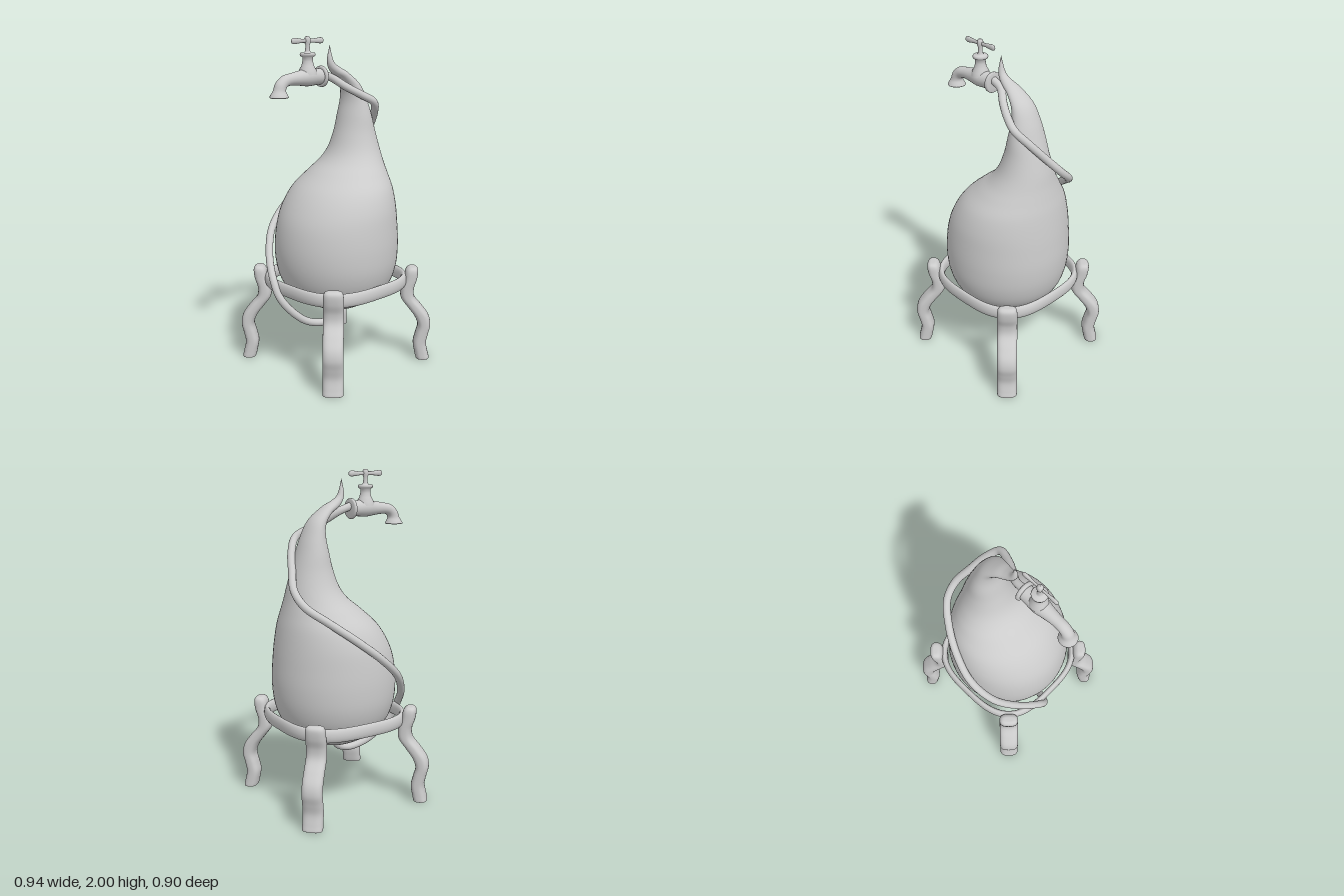
import * as THREE from 'three';

const material = new THREE.MeshStandardMaterial({ color: 0xcccccc, side: THREE.DoubleSide });

function add(parent, name, geometry, x = 0, y = 0, z = 0) {
  const mesh = new THREE.Mesh(geometry, material);
  mesh.name = name;
  mesh.position.set(x, y, z);
  parent.add(mesh);
  return mesh;
}

// Smooth skin through rings [centreX, centreY, halfAxisX, halfAxisY, halfDepth].
// dir is the sign of the depth axis, power < 1 squares the section.
function loft(rings, { sides = 40, sub = 6, dir = -1, power = 1 } = {}) {
  const centres = new THREE.CatmullRomCurve3(rings.map(r => new THREE.Vector3(r[0], r[1], 0)), false, 'catmullrom', 0.5);
  const axes = new THREE.CatmullRomCurve3(rings.map(r => new THREE.Vector3(r[2], r[3], r[4])), false, 'catmullrom', 0.5);
  const steps = (rings.length - 1) * sub;
  const pos = [], index = [];
  const shape = s => Math.sign(s) * Math.abs(s) ** power;
  for (let i = 0; i <= steps; i++) {
    const c = centres.getPoint(i / steps), a = axes.getPoint(i / steps);
    for (let j = 0; j < sides; j++) {
      const t = (j / sides) * Math.PI * 2, u = shape(Math.cos(t)), v = shape(Math.sin(t));
      pos.push(c.x + a.x * u, c.y + a.y * u, dir * a.z * v);
      if (i === steps) continue;
      const k = (j + 1) % sides, p = i * sides, q = p + sides;
      index.push(p + j, p + k, q + j, p + k, q + k, q + j);
    }
  }
  const g = new THREE.BufferGeometry();
  g.setAttribute('position', new THREE.Float32BufferAttribute(pos, 3));
  g.setIndex(index);
  g.computeVertexNormals();
  return g;
}

const lathe = pts => new THREE.LatheGeometry(pts.map(p => new THREE.Vector2(...p)), 32);

function makeBody() {
  // left edge x, y, right edge x, y, half depth
  const outline = [
    [0.02, 0.33, 0.02, 0.33, 0], [-0.06, 0.34, 0.10, 0.34, 0.08], [-0.14, 0.37, 0.18, 0.37, 0.16],
    [-0.23, 0.425, 0.27, 0.425, 0.25], [-0.31, 0.51, 0.345, 0.51, 0.33], [-0.35, 0.62, 0.383, 0.62, 0.37],
    [-0.36, 0.75, 0.395, 0.75, 0.38], [-0.34, 0.89, 0.387, 0.89, 0.372], [-0.295, 1.0, 0.375, 1.0, 0.355],
    [-0.225, 1.1, 0.36, 1.1, 0.318], [-0.125, 1.19, 0.343, 1.18, 0.257], [-0.04, 1.26, 0.328, 1.25, 0.205],
    [0.01, 1.33, 0.313, 1.33, 0.165], [0.047, 1.43, 0.29, 1.42, 0.135], [0.072, 1.53, 0.26, 1.52, 0.117],
    [0.09, 1.62, 0.225, 1.62, 0.095], [0.085, 1.69, 0.175, 1.715, 0.075], [0.045, 1.745, 0.09, 1.787, 0.052],
    [-0.005, 1.777, 0.03, 1.82, 0.036], [-0.04, 1.815, -0.005, 1.845, 0.025],
    [-0.052, 1.865, -0.022, 1.88, 0.016], [-0.038, 1.945, -0.036, 1.945, 0],
  ];
  return loft(outline.map(([lx, ly, rx, ry, w]) =>
    [(lx + rx) / 2, (ly + ry) / 2, (rx - lx) / 2, (ry - ly) / 2, w]), { sides: 64 });
}

// Wavy leg: x is the distance from the stand's axis
function makeLeg() {
  const path = [
    [0.475, 0.6, 0, 0], [0.475, 0.597, 0.022, 0.04], [0.472, 0.575, 0.039, 0.057], [0.464, 0.52, 0.041, 0.06],
    [0.446, 0.46, 0.041, 0.06], [0.45, 0.4, 0.043, 0.06], [0.495, 0.34, 0.046, 0.06], [0.538, 0.28, 0.045, 0.06],
    [0.555, 0.22, 0.04, 0.06], [0.542, 0.16, 0.04, 0.06], [0.53, 0.1, 0.041, 0.06], [0.54, 0.04, 0.042, 0.06],
    [0.548, 0.006, 0.042, 0.06], [0.548, 0, 0.036, 0.054], [0.548, 0, 0, 0],
  ];
  return loft(path.map(([x, y, r, w]) => [x, y, r, 0, w]), { sides: 32, dir: 1, power: 0.75 });
}

// Rounded-square band with an oval section
function makeBand() {
  const pos = [], index = [], n = 128, m = 16;
  const round = s => Math.sign(s) * Math.abs(s) ** (2 / 3);
  for (let i = 0; i < n; i++) {
    const a = (i / n) * Math.PI * 2, c = Math.cos(a), s = Math.sin(a);
    for (let j = 0; j < m; j++) {
      const b = (j / m) * Math.PI * 2;
      const out = Math.cos(b) * 0.018;
      pos.push((0.377 + out) * round(c), Math.sin(b) * 0.042, (0.375 + out) * round(s));
      const p = i * m, q = ((i + 1) % n) * m, k = (j + 1) % m;
      index.push(p + j, p + k, q + j, p + k, q + k, q + j);
    }
  }
  const g = new THREE.BufferGeometry();
  g.setAttribute('position', new THREE.Float32BufferAttribute(pos, 3));
  g.setIndex(index);
  g.computeVertexNormals();
  return g;
}

function makeTap() {
  const tap = new THREE.Group();
  tap.name = 'tap';
  // centre x, y, radius, direction of the ring's axis in degrees; the last rings hollow the mouth
  const spout = [
    [-0.1, 1.77, 0.046, 90], [-0.15, 1.77, 0.047, 90], [-0.21, 1.771, 0.052, 90], [-0.27, 1.768, 0.042, 90],
    [-0.33, 1.765, 0.034, 92], [-0.375, 1.757, 0.033, 115], [-0.405, 1.734, 0.034, 150],
    [-0.416, 1.705, 0.037, 175], [-0.42, 1.682, 0.049, 180], [-0.42, 1.67, 0.054, 180],
    [-0.42, 1.668, 0.046, 180], [-0.418, 1.69, 0.036, 180], [-0.416, 1.71, 0.028, 175], [-0.416, 1.711, 0, 175],
  ].map(([x, y, r, deg]) => {
    const a = THREE.MathUtils.degToRad(deg);
    return [x, y, r * Math.cos(a), r * Math.sin(a), r];
  });
  add(tap, 'spout', loft(spout, { sides: 32 }));

  const flange = add(tap, 'inletFlange', lathe([
    [0, -0.012], [0.052, -0.012], [0.06, -0.007], [0.061, 0.005], [0.055, 0.012], [0.022, 0.012], [0, 0.012],
  ]), -0.105, 1.77, 0);
  flange.rotation.z = -Math.PI / 2;

  // Bonnet, collar and stem
  add(tap, 'valveStem', lathe([
    [0.055, 1.785], [0.05, 1.81], [0.036, 1.835], [0.03, 1.86], [0.03, 1.882], [0.043, 1.89], [0.045, 1.9],
    [0.04, 1.908], [0.02, 1.909], [0.014, 1.918], [0.012, 1.95], [0.018, 1.965], [0.018, 1.985], [0.012, 1.997], [0, 2],
  ]), -0.207, 0, 0);

  // Cross bar, thicker towards both ends
  const bar = [
    [-0.119, 0], [-0.115, 0.012], [-0.1, 0.017], [-0.075, 0.015], [-0.04, 0.011], [0, 0.012],
    [0.04, 0.011], [0.075, 0.015], [0.1, 0.017], [0.115, 0.012], [0.119, 0],
  ].map(([x, r]) => [-x, 0, 0, r, r * 0.6]);
  add(tap, 'handleBar', loft(bar, { sides: 20, sub: 4 }), -0.207, 1.974, 0);
  return tap;
}

// Hose winding from the tap around the neck and body to the underside
function makeHose() {
  const points = [
    [-0.1, 1.785, 0], [-0.03, 1.758, 0.012], [0.04, 1.705, 0.06], [0.12, 1.657, 0.105], [0.2, 1.61, 0.13],
    [0.26, 1.53, 0.075], [0.305, 1.43, -0.01], [0.343, 1.33, -0.1], [0.325, 1.25, -0.19],
    [0.22, 1.16, -0.285], [0.09, 1.06, -0.355], [-0.05, 0.95, -0.39], [-0.2, 0.82, -0.355],
    [-0.315, 0.68, -0.245], [-0.385, 0.56, -0.12], [-0.382, 0.47, -0.07], [-0.32, 0.375, -0.03],
    [-0.22, 0.295, 0], [-0.1, 0.268, 0.02], [-0.02, 0.3, 0.02], [0.01, 0.36, 0.015],
  ].map(p => new THREE.Vector3(...p));
  return new THREE.TubeGeometry(new THREE.CatmullRomCurve3(points), 240, 0.023, 14);
}

export function createModel() {
  const model = new THREE.Group();
  model.name = 'gourdTank';
  add(model, 'gourdBody', makeBody());
  add(model, 'hose', makeHose());
  model.add(makeTap());

  const stand = new THREE.Group();
  stand.name = 'stand';
  stand.position.set(0.016, 0, -0.003);
  add(stand, 'supportBand', makeBand(), 0, 0.52, 0);
  const leg = makeLeg();
  for (let i = 0; i < 4; i++) add(stand, 'leg', leg).rotation.y = Math.PI / 4 + i * Math.PI / 2;
  model.add(stand);
  return model;
}
